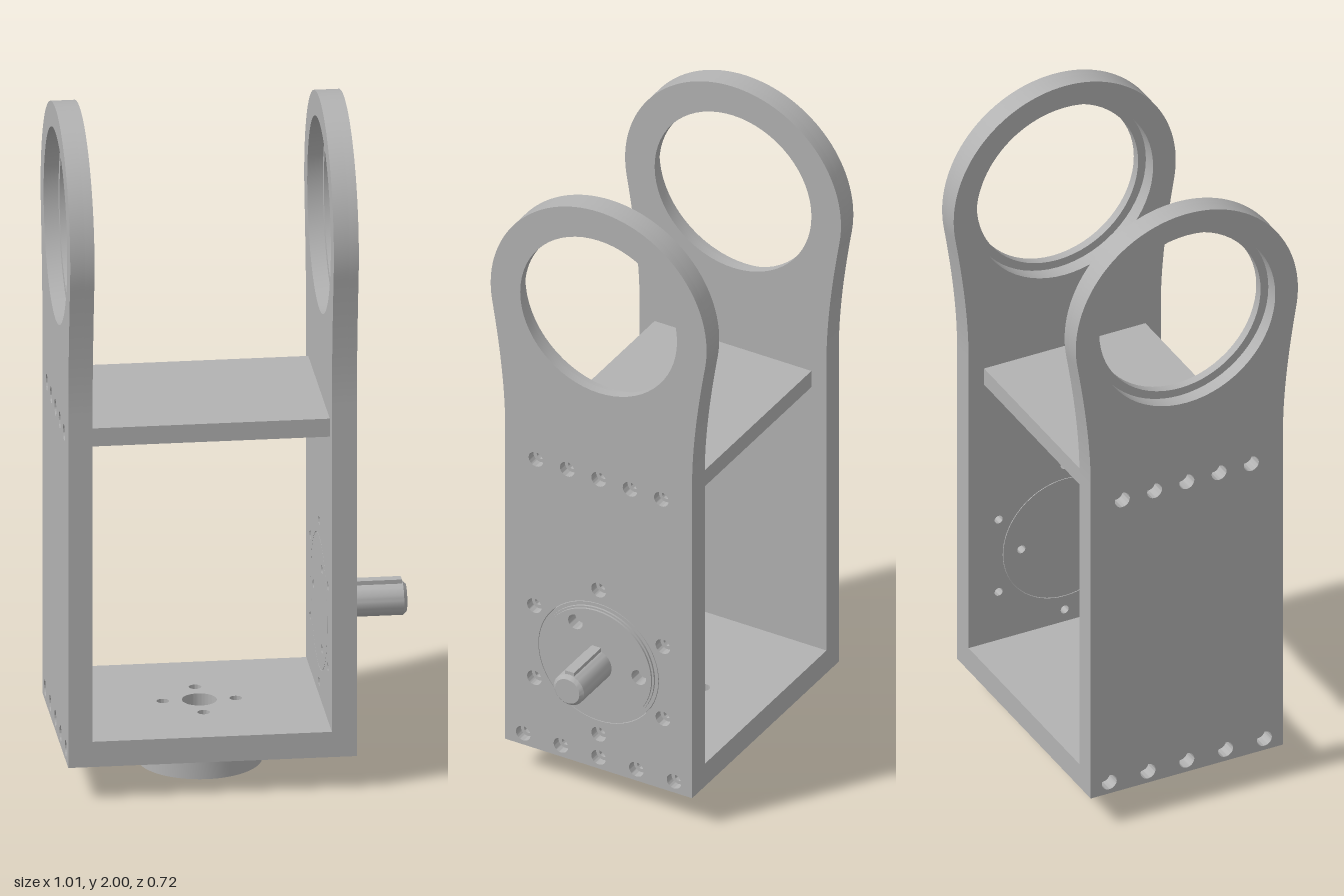
import * as THREE from 'three';
import { toCreasedNormals } from 'three/addons/utils/BufferGeometryUtils.js';

const grey = new THREE.MeshStandardMaterial({ color: 0xb2b2b2 });
grey.name = 'machined grey';

const MOTOR_Y = 0.463, EYE_Y = 1.642, FLOOR_X = -0.09;
const SCREW = 0.013, HEAD = 0.024;
const bottomRow = [-0.25, -0.125, 0, 0.125, 0.25].map(u => [u, 0.138]);
const shelfRow = [-0.208, -0.104, 0, 0.104, 0.208].map(u => [u, 1.087]);

// n points evenly spaced on a circle
const ring = (n, r, cx, cy, start = 0) => Array.from({ length: n }, (_, i) => {
  const a = start + i * 2 * Math.PI / n;
  return [cx + r * Math.cos(a), cy + r * Math.sin(a)];
});
const outerBolts = ring(6, 0.246, 0, MOTOR_Y, Math.PI / 2);
const innerBolts = ring(3, 0.14, 0, MOTOR_Y);

function circle(r, cx = 0, cy = 0) {
  const s = new THREE.Shape();
  s.absarc(cx, cy, r, 0, Math.PI * 2);
  return s;
}
function rect(x0, x1, y0, y1) {
  return new THREE.Shape([[x0, y0], [x1, y0], [x1, y1], [x0, y1]].map(p => new THREE.Vector2(...p)));
}
function drill(shape, points, r) {
  for (const [x, y] of points) shape.holes.push(circle(r, x, y));
  return shape;
}
function extrude(shape, depth, curveSegments) {
  return new THREE.ExtrudeGeometry(shape, { depth, curveSegments, bevelEnabled: false });
}
function add(parent, name, geometry) {
  const mesh = new THREE.Mesh(toCreasedNormals(geometry, 0.5), grey);
  mesh.name = name;
  parent.add(mesh);
  return mesh;
}
// Slab between two x values; the shape is drawn in (-z, y)
function slabX(parent, name, shape, x0, x1) {
  return add(parent, name, extrude(shape, x1 - x0, 32).rotateY(Math.PI / 2).translate(x0, 0, 0));
}
// Slab between two y values; the shape is drawn in (x, -z)
function slabY(parent, name, shape, y0, y1) {
  return add(parent, name, extrude(shape, y1 - y0, 32).rotateX(-Math.PI / 2).translate(0, y0, 0));
}

// Side plate outline: straight sides flaring into a round eye
function plateShape(eyeRadius, screwRadius, hasMotor) {
  const s = new THREE.Shape(), w = 0.31, r = 0.358, a = Math.PI / 18;
  s.moveTo(-w, 0.1);
  s.lineTo(w, 0.1);
  s.lineTo(w, 1.17);
  s.quadraticCurveTo(w, 1.334, r * Math.cos(a), EYE_Y - r * Math.sin(a));
  s.absarc(0, EYE_Y, r, -a, Math.PI + a);
  s.quadraticCurveTo(-w, 1.334, -w, 1.17);
  s.holes.push(circle(eyeRadius, 0, EYE_Y));
  drill(s, [...bottomRow, ...shelfRow], screwRadius);
  if (hasMotor) {
    drill(s, outerBolts, screwRadius);
    s.holes.push(circle(0.2, 0, MOTOR_Y));
  }
  return s;
}

// Shelf section, optionally with grooves between the screw bores
function shelfShape(grooved) {
  const pts = [[-0.26, 1.06]];
  if (grooved) for (const u of [-0.156, -0.052, 0.052, 0.156]) {
    pts.push([u - 0.033, 1.06], [u - 0.033, 1.098], [u + 0.033, 1.098], [u + 0.033, 1.06]);
  }
  pts.push([0.26, 1.06], [0.26, 1.115], [-0.26, 1.115]);
  return drill(new THREE.Shape(pts.map(p => new THREE.Vector2(...p))), shelfRow, SCREW);
}

export function createModel() {
  const model = new THREE.Group();
  model.name = 'bracket';
  const group = name => {
    const g = new THREE.Group();
    g.name = name;
    model.add(g);
    return g;
  };

  // Side plates, each in two layers so that the bores are stepped
  const motorPlate = group('motorSidePlate');
  slabX(motorPlate, 'innerLayer', plateShape(0.285, SCREW, true), 0.255, 0.3);
  slabX(motorPlate, 'outerLayer', plateShape(0.26, HEAD, true), 0.3, 0.327);
  const plainPlate = group('plainSidePlate');
  slabX(plainPlate, 'outerLayer', plateShape(0.285, HEAD, false), -0.505, -0.462);
  slabX(plainPlate, 'innerLayer', plateShape(0.26, SCREW, false), -0.462, -0.435);

  // Shelf, solid at both ends and grooved underneath
  const shelf = group('shelf');
  slabX(shelf, 'shelfEnd', shelfShape(false), -0.435, -0.39);
  slabX(shelf, 'shelfMiddle', shelfShape(true), -0.39, 0.21);
  slabX(shelf, 'shelfEnd', shelfShape(false), 0.21, 0.255);

  // Floor, with screw bores in its ends and hub holes in its middle
  const floor = group('floor');
  const hubBolts = ring(4, 0.105, FLOOR_X, 0);
  const hubHoles = s => {
    drill(s, hubBolts, 0.018);
    return drill(s, [[FLOOR_X, 0]], 0.05);
  };
  for (const [x0, x1] of [[-0.435, -0.36], [0.18, 0.255]]) {
    slabX(floor, 'floorEnd', drill(rect(-0.31, 0.31, 0.1, 0.177), bottomRow, SCREW), x0, x1);
  }
  slabY(floor, 'floorMiddle', hubHoles(rect(-0.36, 0.18, -0.31, 0.31)), 0.1, 0.177);

  // Hub below the floor
  const hub = group('hub');
  slabY(hub, 'hubBody', hubHoles(circle(0.18, FLOOR_X, 0)), 0, 0.075);
  slabY(hub, 'hubCollar', hubHoles(circle(0.195, FLOOR_X, 0)), 0.075, 0.1);

  // Motor face set into the plate, with a raised stepped rim
  const motor = group('motor');
  for (const [r, hole, x0, x1] of [
    [0.198, SCREW, 0.255, 0.3], [0.198, HEAD, 0.3, 0.327],
    [0.187, HEAD, 0.327, 0.333], [0.181, HEAD, 0.333, 0.339],
  ]) slabX(motor, 'motorFace', drill(circle(r, 0, MOTOR_Y), innerBolts, hole), x0, x1);

  // Shaft with chamfered end and key
  const shaft = [[0, 0], [0.05, 0], [0.05, 0.158], [0.04, 0.168], [0, 0.168]];
  add(motor, 'shaft', new THREE.LatheGeometry(shaft.map(p => new THREE.Vector2(...p)), 40)
    .rotateZ(-Math.PI / 2).translate(0.337, MOTOR_Y, 0));
  add(motor, 'shaftKey', new THREE.BoxGeometry(0.155, 0.03, 0.03)
    .translate(0.4145, MOTOR_Y + 0.045, 0));

  return model;
}
